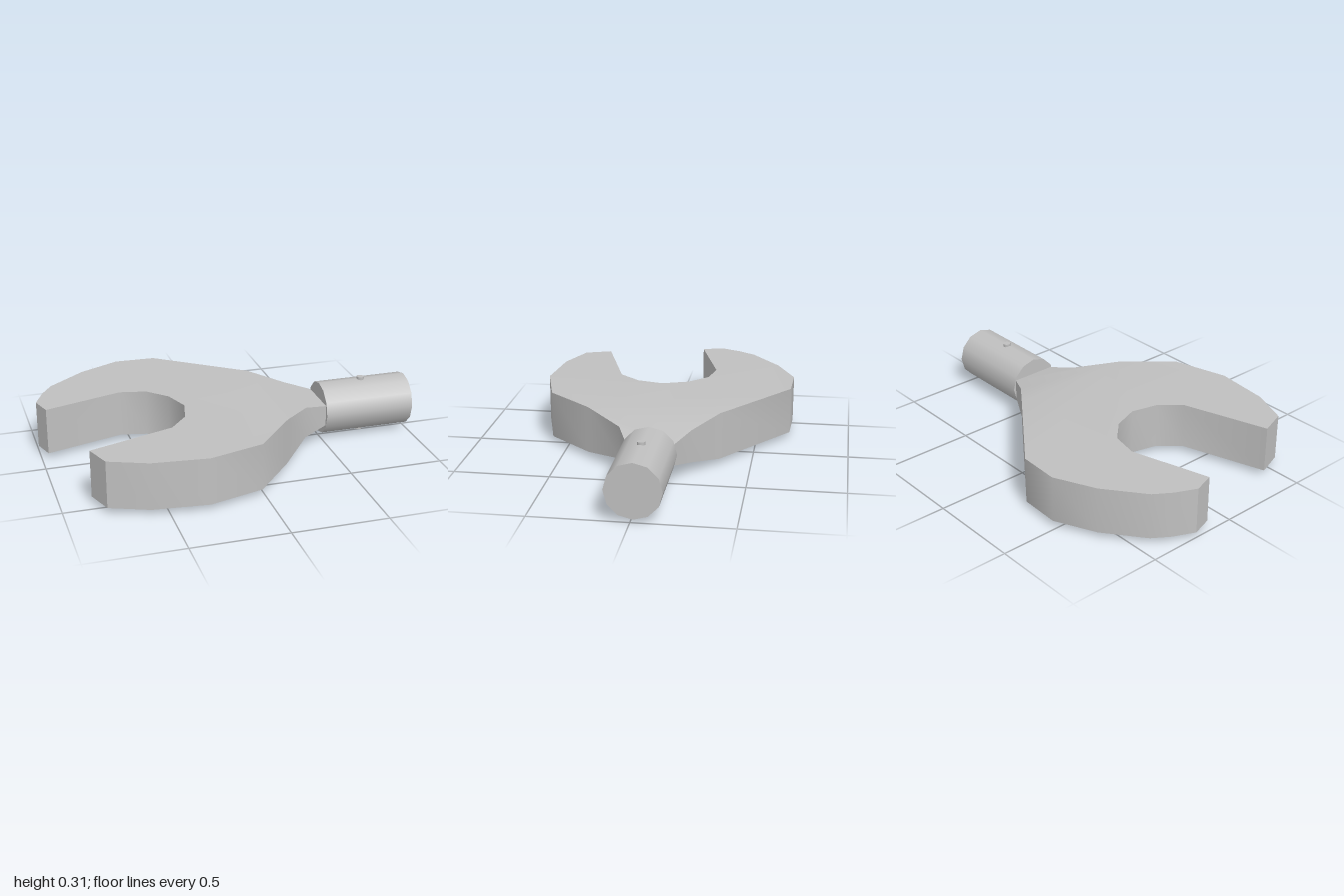
import * as THREE from 'three';
import { mergeGeometries, toCreasedNormals } from 'three/addons/utils/BufferGeometryUtils.js';

const BOTTOM = 0.03, TOP = 0.28, MID = (BOTTOM + TOP) / 2;
const TAPER_START = 0.2, TAPER_END = 0.505, TAPER_SCALE = 0.45;
const AXIS_Z = -0.014;

// Upright slab from a plan outline of [x, z] points
function slab(outline) {
  const shape = new THREE.Shape(outline.map(([x, z]) => new THREE.Vector2(x, -z)));
  return new THREE.ExtrudeGeometry(shape, { depth: TOP - BOTTOM, bevelEnabled: false })
    .rotateX(-Math.PI / 2)
    .translate(0, BOTTOM, 0);
}

export function createModel() {
  const model = new THREE.Group();
  model.name = 'wrenchHead';
  const steel = new THREE.MeshStandardMaterial({ color: 0xc0c0c0 });
  steel.name = 'steel';

  const add = (name, geometry) => {
    const mesh = new THREE.Mesh(geometry, steel);
    mesh.name = name;
    model.add(mesh);
    return mesh;
  };

  // Open jaw: outer edge, then the mouth
  const jaw = slab([
    [-1, -0.23], [-0.95, -0.34], [-0.89, -0.43], [-0.69, -0.585], [-0.475, -0.685],
    [-0.26, -0.677], [0.2, -0.336], [0.2, 0.355], [-0.01, 0.595], [-0.3, 0.675],
    [-0.59, 0.645], [-0.79, 0.565], [-0.84, 0.425],
    [-0.39, 0.28], [-0.295, 0.17], [-0.26, 0.03], [-0.31, -0.11], [-0.41, -0.21],
    [-0.55, -0.24], [-0.965, -0.12],
  ]);

  // Neck: thins evenly towards the socket
  const neck = slab([
    [0.2, -0.336], [0.37, -0.21], [0.505, -0.14],
    [0.505, 0.105], [0.37, 0.16], [0.2, 0.355],
  ]);
  const pos = neck.attributes.position;
  for (let i = 0; i < pos.count; i++) {
    const t = (pos.getX(i) - TAPER_START) / (TAPER_END - TAPER_START);
    pos.setY(i, MID + (pos.getY(i) - MID) * THREE.MathUtils.lerp(1, TAPER_SCALE, t));
  }
  add('jawAndNeck', toCreasedNormals(mergeGeometries([jaw, neck]), 0.7));

  // Round shank along x
  const shank = add('shank', new THREE.CylinderGeometry(0.1415, 0.1415, 0.495, 12).rotateZ(-Math.PI / 2));
  shank.position.set(0.7525, 0.157, AXIS_Z);

  // Cross pin through the shank
  const pin = add('crossPin', new THREE.CylinderGeometry(0.02, 0.02, 0.31, 12));
  pin.position.set(0.745, 0.155, AXIS_Z);

  return model;
}
